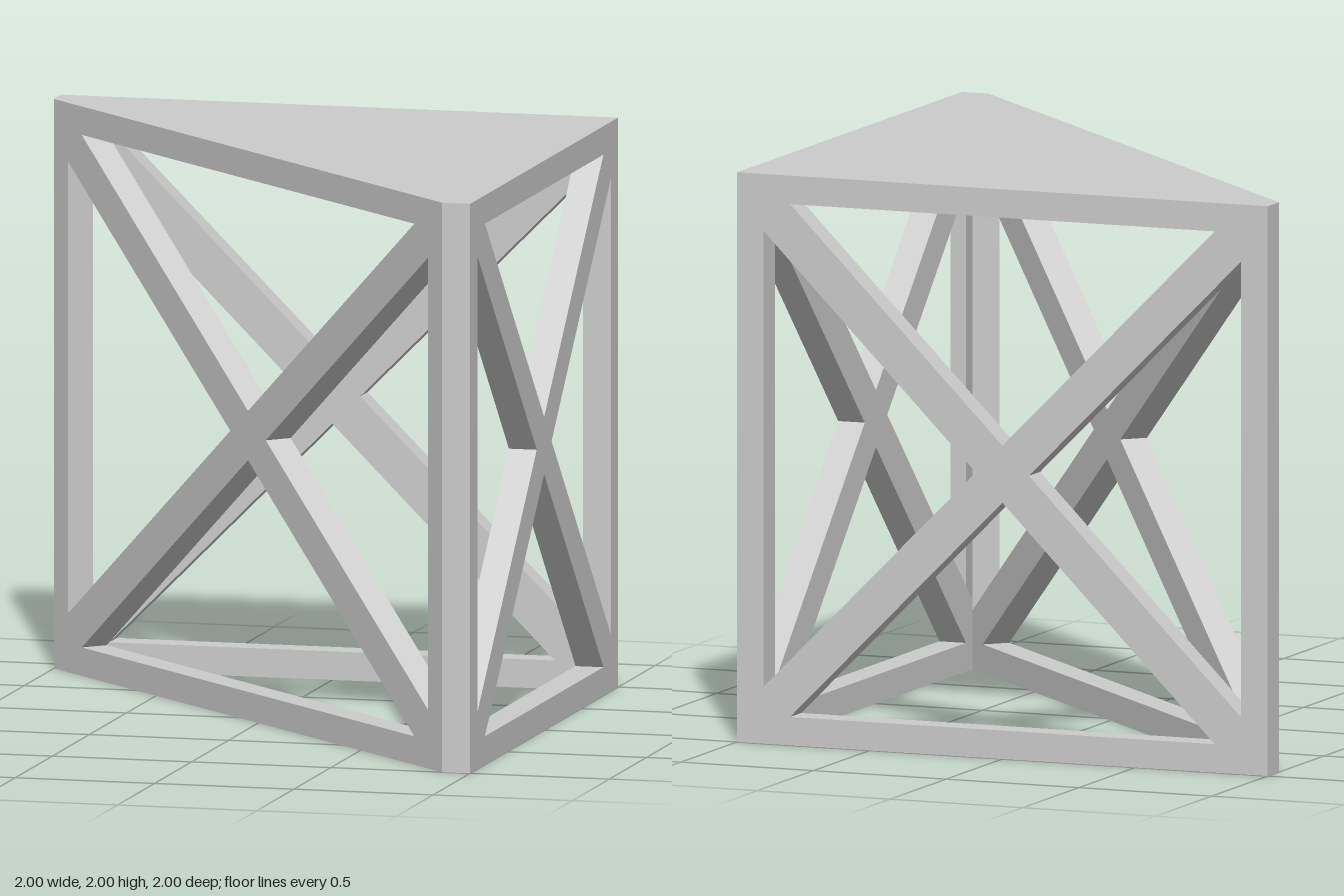
import * as THREE from 'three';

const BAR = 0.1;                 // rim width and wall depth
const HALF_BRACE = 0.1 / Math.SQRT2; // half the width of a diagonal brace

const material = new THREE.MeshStandardMaterial({ color: 0xcccccc, flatShading: true });

const points = (list) => list.map(([x, y]) => new THREE.Vector2(x, y));

// Rectangular frame with crossed braces; outer face at local z = 0, facing +z
function bracedWall(name, halfWidth, slope, x, z, angle) {
  const shape = new THREE.Shape(points([
    [-halfWidth, 0], [halfWidth, 0], [halfWidth, 2], [-halfWidth, 2],
  ]));
  const w = halfWidth - BAR, h = 1 - BAR;
  const rise = HALF_BRACE * Math.sqrt(1 + slope * slope); // brace edge offset in y
  const run = rise / slope;                               // brace edge offset in x
  const topX = (h - rise) / slope, sideY = w * slope - rise;
  for (const s of [-1, 1]) {
    shape.holes.push(
      // openings above and below the crossing
      new THREE.Path(points([[-topX, 1 + s * h], [topX, 1 + s * h], [0, 1 + s * rise]])),
      // openings beside the crossing
      new THREE.Path(points([[s * w, 1 - sideY], [s * w, 1 + sideY], [s * run, 1]])),
    );
  }
  const geometry = new THREE.ExtrudeGeometry(shape, { depth: BAR, bevelEnabled: false });
  geometry.translate(0, 0, -BAR);
  const mesh = new THREE.Mesh(geometry, material);
  mesh.name = name;
  mesh.position.set(x, 0, z);
  mesh.rotation.y = angle;
  return mesh;
}

// Solid triangular plate with two clipped corners
function topPlate() {
  // shape y becomes -z once laid flat
  const shape = new THREE.Shape(points([[-1, 0.9], [0.9, -1], [1, -1], [1, 1], [-1, 1]]));
  const geometry = new THREE.ExtrudeGeometry(shape, { depth: BAR, bevelEnabled: false });
  geometry.rotateX(-Math.PI / 2);
  const mesh = new THREE.Mesh(geometry, material);
  mesh.name = 'topPlate';
  mesh.position.y = 2 - BAR;
  return mesh;
}

export function createModel() {
  const model = new THREE.Group();
  model.name = 'triangularTruss';
  model.add(
    bracedWall('backWall', 1, 1, 0, -1, Math.PI),
    bracedWall('sideWall', 1, 1, 1, 0, Math.PI / 2),
    bracedWall('diagonalWall', 0.95 * Math.SQRT2, Math.SQRT1_2, -0.05, 0.05, -Math.PI / 4),
    topPlate(),
  );
  return model;
}
